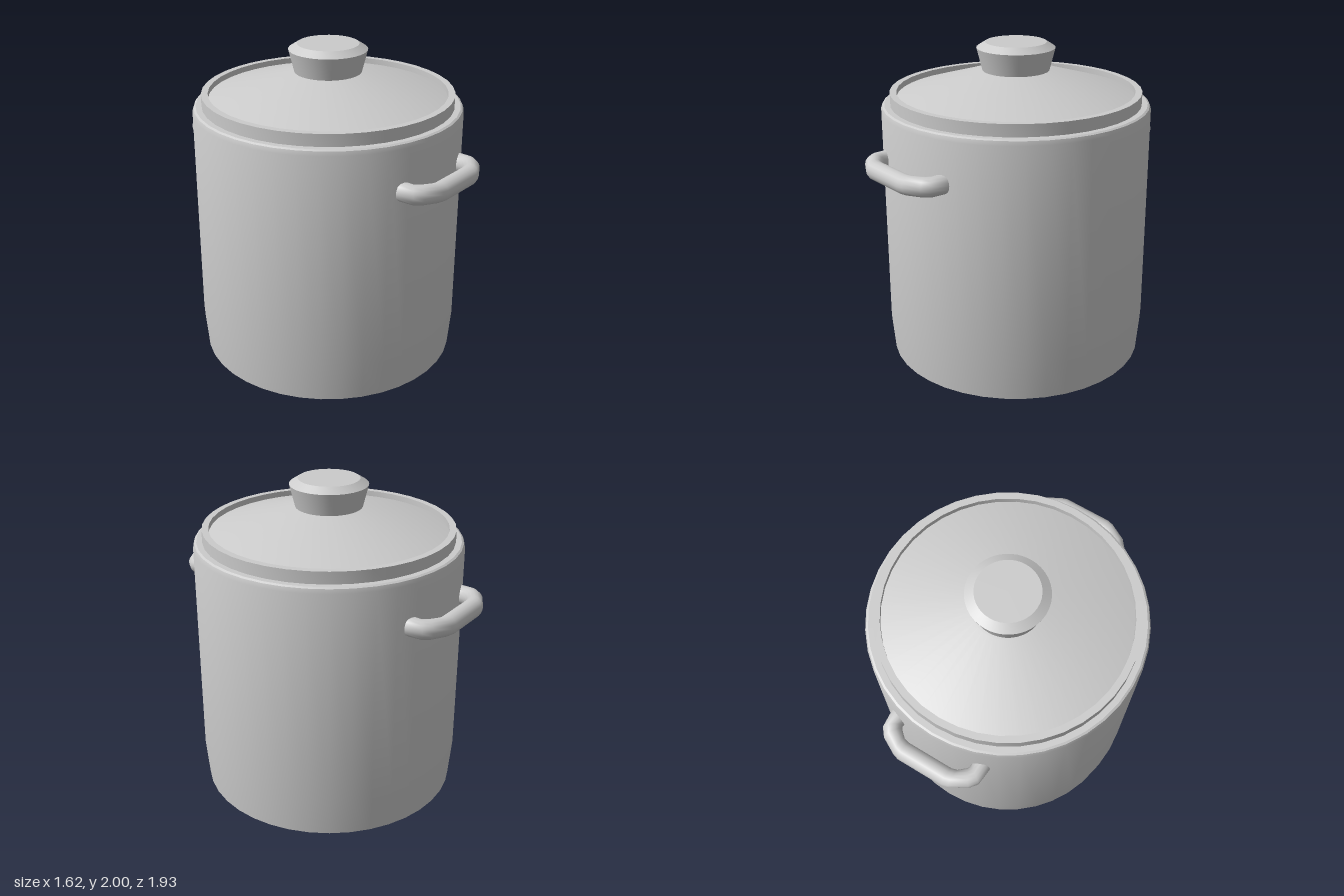
import * as THREE from 'three';
import { toCreasedNormals } from 'three/addons/utils/BufferGeometryUtils.js';

const SEGMENTS = 40;
const HANDLE_Y = 1.355;

// Handle path whose rings sit exactly on the given points
class HandlePath extends THREE.Curve {
  constructor(points) {
    super();
    this.points = points;
  }
  getPoint(t, target = new THREE.Vector3()) {
    const last = this.points.length - 1;
    const i = Math.min(Math.floor(t * last + 1e-6), last - 1);
    return target.lerpVectors(this.points[i], this.points[i + 1], t * last - i);
  }
  getPointAt(u, target) {
    return this.getPoint(u, target);
  }
}

export function createModel() {
  const model = new THREE.Group();
  model.name = 'stockPot';
  const metal = new THREE.MeshStandardMaterial({ color: 0xcccccc, side: THREE.DoubleSide });

  const addMesh = (name, geometry) => {
    const mesh = new THREE.Mesh(geometry, metal);
    mesh.name = name;
    model.add(mesh);
    return mesh;
  };
  const addTurned = (name, profile) => {
    const points = profile.map(([r, y]) => new THREE.Vector2(r, y));
    return addMesh(name, toCreasedNormals(new THREE.LatheGeometry(points, SEGMENTS), 0.45));
  };

  // Body: shallow base, slightly tapered foot, straight wall, rim and inside
  addTurned('potBody', [
    [0, 0], [0.68, 0.01], [0.79, 0.05], [0.81, 0.28], [0.81, 1.61],
    [0.802, 1.635], [0.79, 1.642], [0.75, 1.642], [0.75, 0.07], [0, 0.07],
  ]);

  // Lid: raised outer ring around a shallow cone
  addTurned('lid', [
    [0.73, 1.6], [0.755, 1.6], [0.755, 1.715], [0.715, 1.715],
    [0.715, 1.68], [0.215, 1.832], [0, 1.832],
  ]);

  // Knob: flares upward, with a bevelled flat top
  addTurned('lidKnob', [[0, 1.83], [0.2, 1.83], [0.235, 1.967], [0.183, 2], [0, 2]]);

  // Handles, front and back
  const half = [[0.275, 0.745], [0.275, 0.82], [0.252, 0.853], [0.18, 0.9], [0.145, 0.91]];
  const path = [...half, ...half.map(([x, z]) => [-x, z]).reverse()]
    .map(([x, z]) => new THREE.Vector3(x, 0, z));
  const handle = new THREE.TubeGeometry(new HandlePath(path), path.length - 1, 0.057, 16);
  ['frontHandle', 'backHandle'].forEach((name, i) => {
    const mesh = addMesh(name, handle);
    mesh.position.y = HANDLE_Y;
    mesh.rotation.y = i * Math.PI;
  });

  // Handle end caps
  const cap = new THREE.CircleGeometry(0.057, 16);
  for (const x of [-0.275, 0.275]) {
    for (const z of [-0.745, 0.745]) {
      addMesh('handleEnd', cap).position.set(x, HANDLE_Y, z);
    }
  }

  return model;
}
